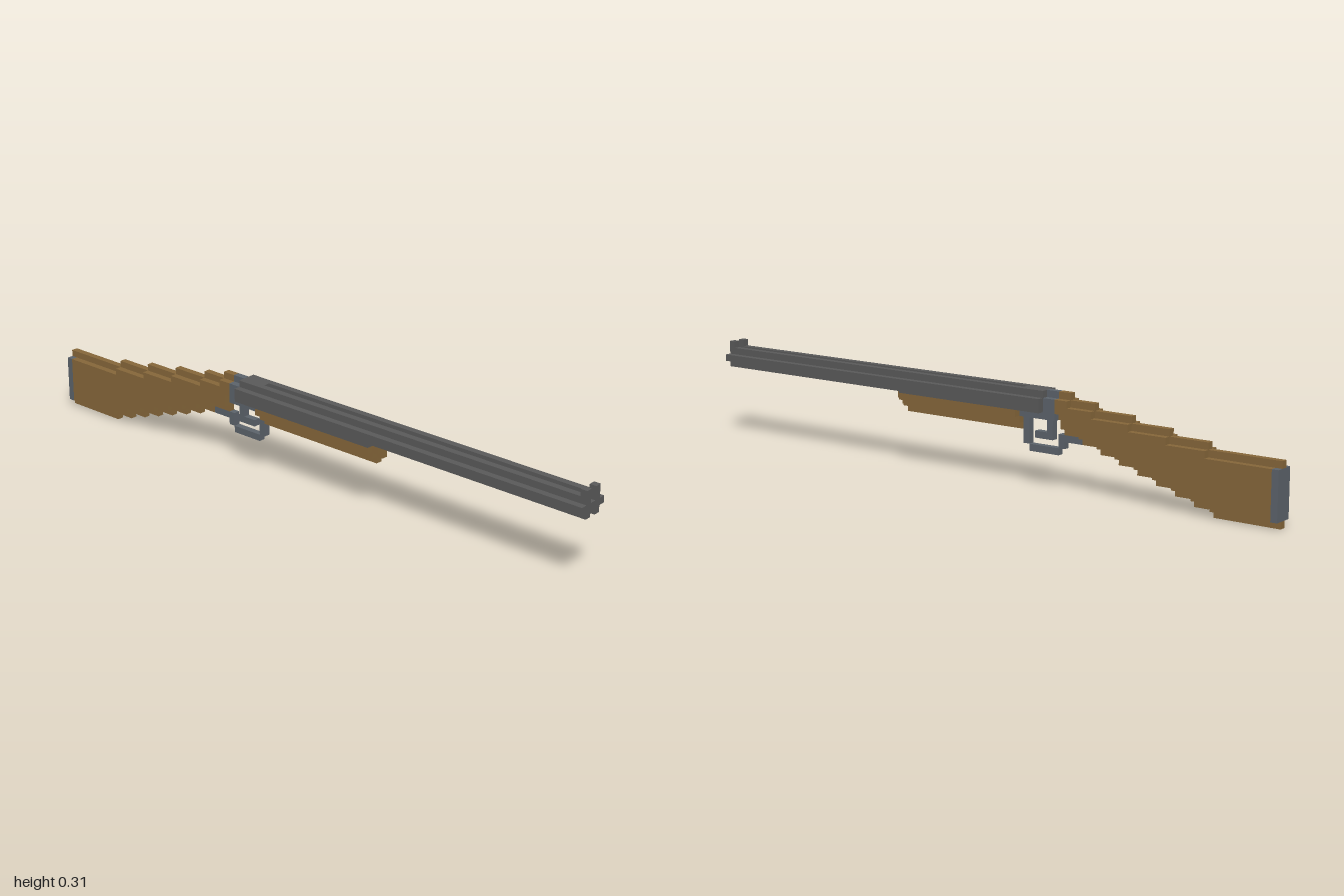
import * as THREE from 'three';

const V = 2 / 97; // size of one cell

export function createModel() {
  const mat = (name, color) => Object.assign(new THREE.MeshStandardMaterial({ color }), { name });
  const wood = mat('walnut wood', 0x86673a);
  const iron = mat('dark iron', 0x5a5a5a);
  const steel = mat('blued steel', 0x5c636b);

  const model = new THREE.Group();
  model.name = 'doubleBarrelGun';
  const part = (name) => {
    const g = new THREE.Group();
    g.name = name;
    model.add(g);
    return g;
  };
  // Block in cells: x and y ranges from the butt and the ground, z range from the centre plane
  const block = (parent, name, material, x0, x1, y0, y1, z0, z1) => {
    const m = new THREE.Mesh(new THREE.BoxGeometry((x1 - x0) * V, (y1 - y0) * V, (z1 - z0) * V), material);
    m.position.set((x0 + x1) / 2 * V - 1, (y0 + y1) / 2 * V, (z0 + z1) / 2 * V);
    m.name = name;
    parent.add(m);
  };

  // Stock: stepped side outline, the middle layer one cell taller above and below
  const stock = part('stock');
  const topSteps = [[11, 9], [17, 10], [23, 11], [29, 12], [33, 13], [35, 14]];
  const bottomSteps = [[10, 0], [13, 1], [16, 2], [19, 3], [22, 4], [25, 5], [28, 6], [31, 7], [34, 8], [35, 10]];
  const outline = (inset) => {
    const steps = (list, d) => {
      let x = 1;
      return list.flatMap(([end, y]) => {
        const pair = [[x, y + d], [end, y + d]];
        x = end;
        return pair;
      });
    };
    const pts = [...steps(bottomSteps, inset), ...steps(topSteps, -inset).reverse()];
    return new THREE.Shape(pts.map(([x, y]) => new THREE.Vector2(x * V - 1, y * V)));
  };
  const layer = (name, inset, z0) => {
    const geo = new THREE.ExtrudeGeometry(outline(inset), { depth: V, bevelEnabled: false });
    const m = new THREE.Mesh(geo, wood);
    m.position.z = z0 * V;
    m.name = name;
    stock.add(m);
  };
  layer('stockCore', 0, -0.5);
  layer('stockLeftCheek', 1, 0.5);
  layer('stockRightCheek', 1, -1.5);
  block(stock, 'buttHeel', wood, 0, 1, 8, 9, -0.5, 0.5);
  block(stock, 'buttToe', wood, 0, 1, 0, 1, -0.5, 0.5);
  block(stock, 'buttPlate', steel, 0, 1, 1, 8, -1.5, 1.5);

  // Receiver
  const receiver = part('receiver');
  block(receiver, 'receiverTang', steel, 35, 37, 11, 13, -1.5, 1.5);
  block(receiver, 'receiverTangTop', steel, 35, 37, 13, 14, -0.5, 0.5);
  block(receiver, 'receiverFloor', steel, 35, 41, 10, 11, -1.5, 1.5);
  block(receiver, 'breech', iron, 37, 41, 11, 14, -1.5, 1.5);

  // Twin barrels with a cross-shaped section, joined by a low rib
  const barrels = part('barrels');
  block(barrels, 'rib', iron, 41, 97, 12, 13, -0.5, 0.5);
  for (const s of [-1, 1]) {
    const side = s > 0 ? 'left' : 'right';
    const span = (a, b) => (s > 0 ? [a, b] : [-b, -a]);
    block(barrels, side + 'Barrel', iron, 41, 97, 11, 14, ...span(0.5, 1.5));
    block(barrels, side + 'BarrelFlank', iron, 37, 97, 12, 13, ...span(1.5, 2.5));
    block(barrels, side + 'BarrelRail', iron, 37, 62, 11, 12, ...span(1.5, 2.5));
    block(barrels, side + 'FrontSight', iron, 96, 97, 14, 15, ...span(0.5, 1.5));
  }

  // Fore-end, narrowing downwards
  const foreEnd = part('foreEnd');
  block(foreEnd, 'foreEndTop', wood, 41, 62, 10, 11, -2.5, 2.5);
  block(foreEnd, 'foreEndMiddle', wood, 41, 62, 9, 10, -1.5, 1.5);
  block(foreEnd, 'foreEndKeel', wood, 41, 62, 8, 9, -0.5, 0.5);
  block(foreEnd, 'foreEndTongue', wood, 41, 63, 11, 12, -0.5, 0.5);
  block(foreEnd, 'foreEndTip', wood, 62, 63, 10, 11, -1.5, 1.5);
  block(foreEnd, 'foreEndTipLower', wood, 62, 63, 9, 10, -0.5, 0.5);

  // Trigger guard and trigger, one cell thick
  const guard = part('triggerGuard');
  const rods = [
    ['guardTang', 31, 34, 7, 8], ['guardRear', 34, 35, 6, 8], ['guardBow', 35, 40, 5, 6],
    ['guardFront', 40, 41, 6, 10], ['trigger', 36, 37, 8, 10], ['triggerTip', 37, 39, 7, 8],
    ['triggerBend', 36, 37, 7, 8],
  ];
  for (const [name, ...r] of rods) block(guard, name, steel, ...r, -0.5, 0.5);

  return model;
}
